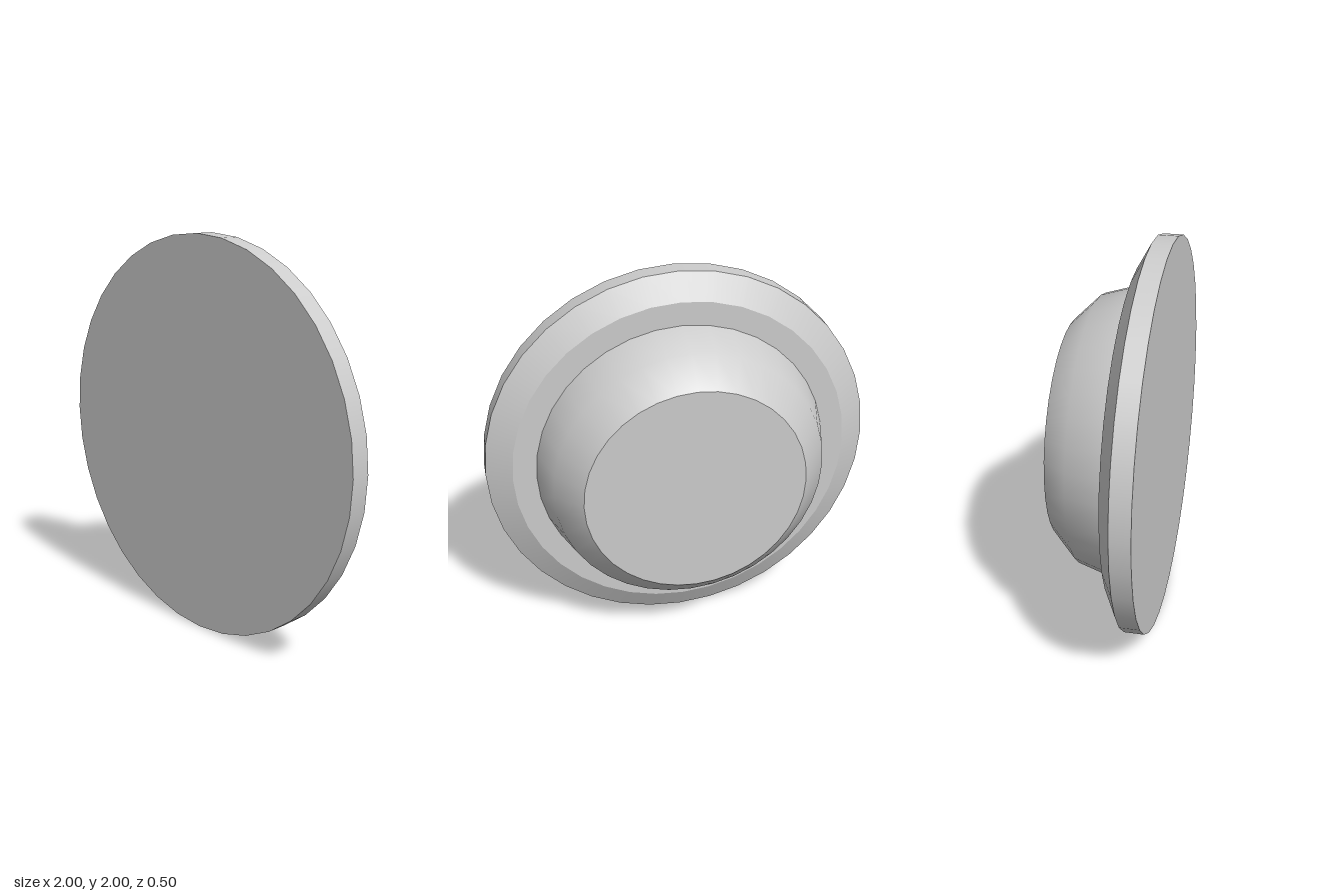
import * as THREE from 'three';

const SIDES = 36;

export function createModel() {
  const group = new THREE.Group();
  const grey = new THREE.MeshStandardMaterial({ color: 0xcccccc });
  grey.name = 'lightGrey';

  const add = (name, geometry) => {
    const mesh = new THREE.Mesh(geometry, grey);
    mesh.name = name;
    mesh.position.y = 1;
    group.add(mesh);
  };

  // A ring turned about the z axis from [radius, z] points, listed back to front
  const ring = (name, points) => {
    const profile = points.map(([r, z]) => new THREE.Vector2(r, z));
    add(name, new THREE.LatheGeometry(profile, SIDES).rotateX(Math.PI / 2));
  };

  // Raised body at the back, smooth across its shoulder
  add('bodyEnd', new THREE.CircleGeometry(0.56, SIDES).rotateY(Math.PI).translate(0, 0, -0.25));
  ring('bodySide', [[0.56, -0.25], [0.69, -0.12], [0.75, 0.08]]);

  // Flange with a bevelled rim; separate rings keep the edges sharp
  ring('flangeBack', [[0.75, 0.08], [0.87, 0.08]]);
  ring('rimBevel', [[0.87, 0.08], [1, 0.15]]);
  ring('rimEdge', [[1, 0.15], [1, 0.25]]);

  // Flat front disc
  add('frontFace', new THREE.CircleGeometry(1, SIDES).translate(0, 0, 0.25));

  return group;
}
